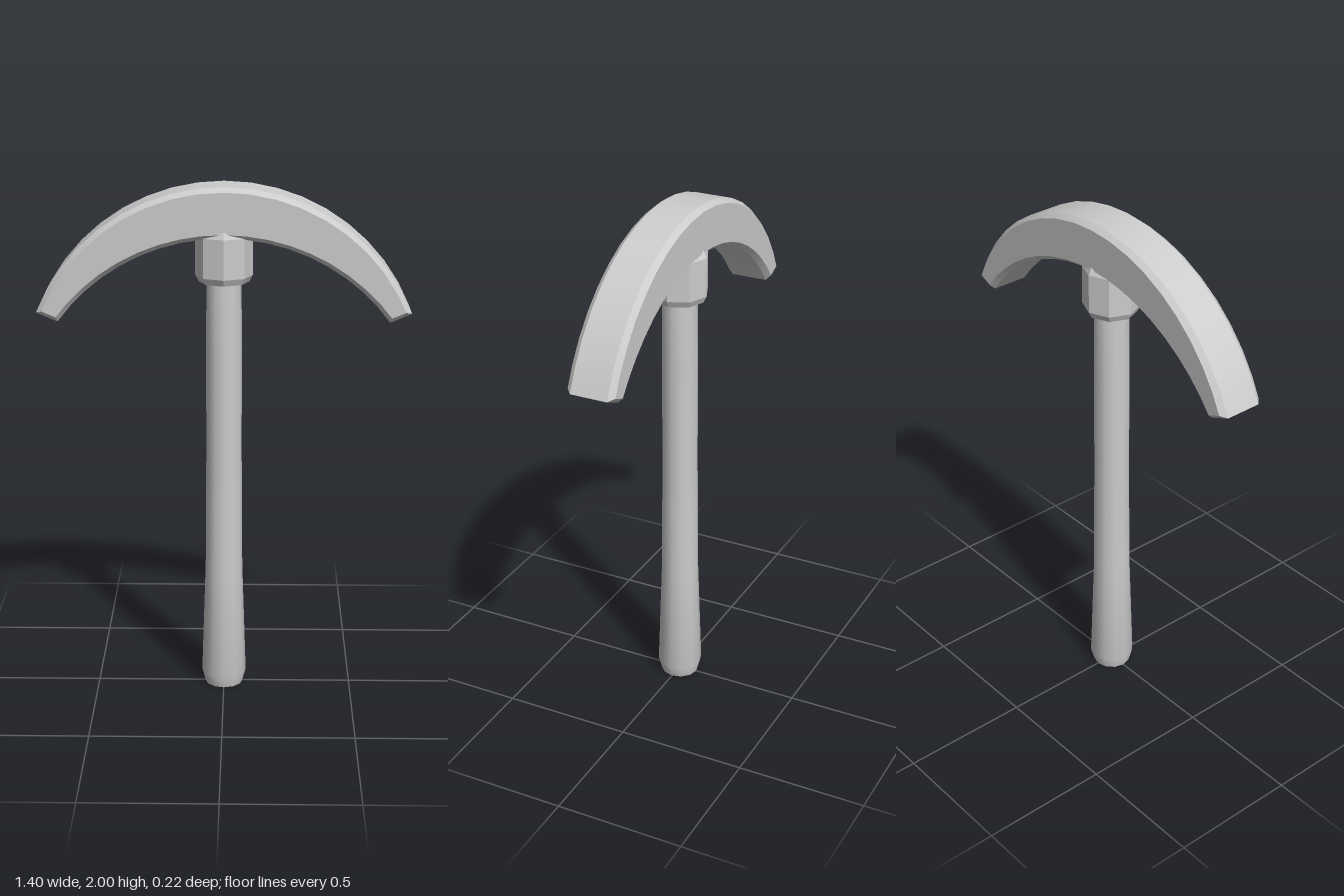
import * as THREE from 'three';
import { toCreasedNormals } from 'three/addons/utils/BufferGeometryUtils.js';

// Points along a circular arc between two x values, crowned at x = 0
function arc(fromX, toX, radius, centreY, steps) {
  const a = Math.asin(fromX / radius), b = Math.asin(toX / radius);
  return Array.from({ length: steps + 1 }, (_, i) => {
    const t = a + (b - a) * i / steps;
    return new THREE.Vector2(radius * Math.sin(t), centreY + radius * Math.cos(t));
  });
}

// Turned part from [radius, y] pairs, listed bottom to top
function turned(profile, sides, crease) {
  const points = profile.map(([r, y]) => new THREE.Vector2(r, y));
  return toCreasedNormals(new THREE.LatheGeometry(points, sides), crease);
}

export function createModel() {
  const group = new THREE.Group();
  const grey = new THREE.MeshStandardMaterial({ color: 0xcccccc });
  grey.name = 'plain grey';

  const add = (name, geometry) => {
    const mesh = new THREE.Mesh(geometry, grey);
    mesh.name = name;
    group.add(mesh);
  };

  // Curved double-ended head with bevelled edges
  const outline = new THREE.Shape([
    ...arc(0.7, -0.7, 0.756, 1.244, 18),
    ...arc(-0.62, 0.62, 0.768, 1.042, 18),
  ]);
  const head = new THREE.ExtrudeGeometry(outline, {
    depth: 0.144, bevelEnabled: true, bevelSegments: 1,
    bevelSize: 0.017, bevelOffset: -0.017, bevelThickness: 0.021,
  });
  head.translate(0, 0, -0.072);
  add('head', toCreasedNormals(head, 0.5));

  // Eight-sided collar under the head, chamfered at both ends
  add('collar', turned([
    [0, 1.635], [0.095, 1.635], [0.108, 1.66], [0.108, 1.81], [0.095, 1.835], [0, 1.835],
  ], 8, 0.3));

  // Handle flaring to a rounded butt
  add('handle', turned([
    [0, 0], [0.074, 0], [0.087, 0.05], [0.072, 0.5], [0.068, 1], [0.068, 1.4], [0.065, 1.7], [0, 1.7],
  ], 12, 0.6));

  return group;
}
